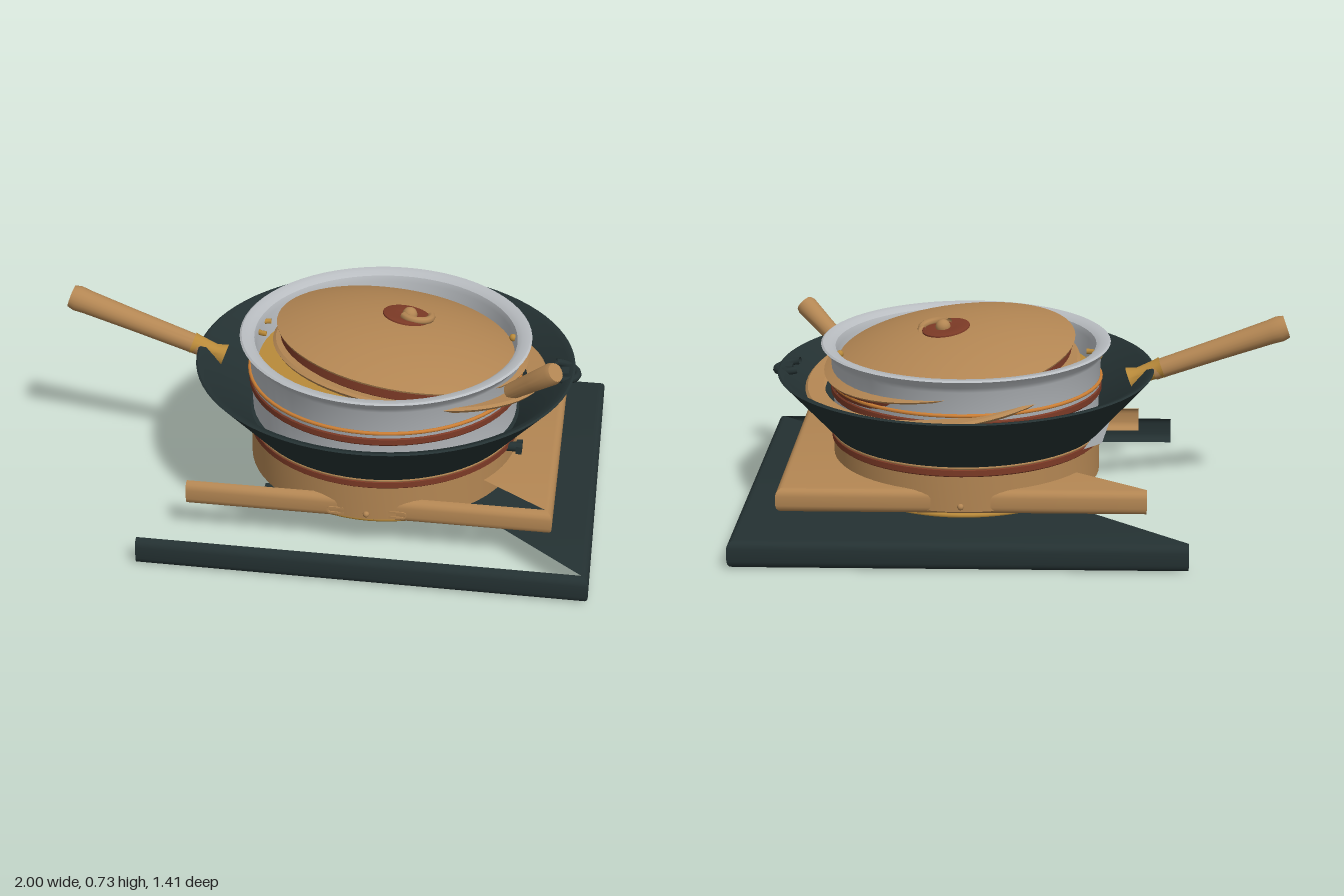
import * as THREE from 'three';
import { toCreasedNormals } from 'three/addons/utils/BufferGeometryUtils.js';

const CX = 0.195; // shared axis of burner, wok and pot

export function createModel() {
  const model = new THREE.Group();
  const mat = (name, color) => {
    const m = new THREE.MeshStandardMaterial({ color, side: THREE.DoubleSide });
    m.name = name;
    return m;
  };
  const dark = mat('dark iron', 0x243132);
  const wood = mat('tan wood', 0xb38653);
  const silver = mat('silver', 0xb9bdc1);
  const red = mat('rust red', 0x7c3a26);
  const gold = mat('gold', 0xb98a3a);
  const orange = mat('copper orange', 0xcc7f35);

  const add = (name, geo, m, x = 0, y = 0, z = 0, parent = model) => {
    const mesh = new THREE.Mesh(geo, m);
    mesh.name = name;
    mesh.position.set(x, y, z);
    parent.add(mesh);
    return mesh;
  };
  const lathe = (pts, seg = 64) => toCreasedNormals(
    new THREE.LatheGeometry(pts.map(p => new THREE.Vector2(...p)), seg), 0.6);
  const ring = (r, t) => new THREE.TorusGeometry(r, t, 8, 64).rotateX(Math.PI / 2);
  // turned rod whose profile [radius, distance] runs from point a towards b
  const rod = (name, a, b, profile, m) => {
    const from = new THREE.Vector3(...a), dir = new THREE.Vector3(...b).sub(from);
    const len = dir.length();
    const mesh = add(name, lathe(profile.map(([r, t]) => [r, t * len]), 20), m, ...a);
    mesh.quaternion.setFromUnitVectors(new THREE.Vector3(0, 1, 0), dir.normalize());
    return mesh;
  };

  // Open slab: three rounded side walls and a half-covered, triangular top
  const slab = (name, x0, x1, hz, y0, y1, m) => {
    const b = 0.028, rows = [];
    for (let k = 0; k <= 4; k++) {
      const a = k * Math.PI / 8;
      rows.push([b * (1 - Math.sin(a)), y0 + b * (1 - Math.cos(a))]);
    }
    for (let k = 4; k >= 0; k--) rows.push([rows[k][0], y0 + y1 - rows[k][1]]);
    const at = (i, [n, y]) => [
      [x0, y, n - hz], [x1 - n, y, n - hz], [x1 - n, y, hz - n], [x0, y, hz - n]][i];
    const pos = [];
    for (let i = 0; i < 3; i++) {
      for (let j = 0; j < rows.length - 1; j++) {
        const p = at(i, rows[j]), q = at(i + 1, rows[j]);
        const r = at(i + 1, rows[j + 1]), s = at(i, rows[j + 1]);
        pos.push(...p, ...s, ...r, ...p, ...r, ...q);
      }
    }
    const top = rows[rows.length - 1];
    pos.push(...at(0, top), ...at(2, top), ...at(1, top));
    const g = new THREE.BufferGeometry();
    g.setAttribute('position', new THREE.Float32BufferAttribute(pos, 3));
    g.computeVertexNormals();
    add(name, toCreasedNormals(g, 0.6), m);
  };
  slab('baseBoard', -0.605, 1, 0.705, 0, 0.1, dark);
  slab('woodenTray', -0.465, 0.855, 0.485, 0.125, 0.215, wood);

  // Finger slot on the tray front
  const slot = (w, h, Type) => {
    const s = new Type();
    s.absarc(w, 0, h, -Math.PI / 2, Math.PI / 2);
    s.absarc(-w, 0, h, Math.PI / 2, Math.PI * 1.5);
    return s;
  };
  const slotShape = slot(0.13, 0.014, THREE.Shape);
  slotShape.holes.push(slot(0.13, 0.007, THREE.Path));
  add('traySlot', new THREE.ExtrudeGeometry(slotShape,
    { depth: 0.006, bevelEnabled: false, curveSegments: 8 }), wood, 0.195, 0.16, 0.484);

  // Burner underneath
  add('outerBurnerRing', ring(0.44, 0.01), gold, CX, 0.106, 0);
  add('innerBurnerRing', ring(0.33, 0.011), orange, CX, 0.108, 0);
  for (let i = 0; i < 20; i++) {
    const a = i * Math.PI / 10;
    add('burnerJet', new THREE.SphereGeometry(0.018, 8, 6), orange,
      CX + 0.33 * Math.cos(a), 0.11, 0.33 * Math.sin(a));
  }
  add('burnerPlate', new THREE.CylinderGeometry(0.49, 0.49, 0.005, 64), silver, CX, 0.14, 0);
  for (let i = 0; i < 12; i++) {
    add('burnerWedge', new THREE.CircleGeometry(0.33, 4, i * Math.PI / 6, Math.PI / 12)
      .rotateX(Math.PI / 2), red, CX, 0.135, 0);
  }
  for (const sx of [-1, 1]) for (const sz of [-1, 1])
    add('burnerFoot', new THREE.BoxGeometry(0.09, 0.03, 0.09), dark, CX + sx * 0.355, 0.115, sz * 0.345);

  // Round drum, its bands and knobs
  add('drum', lathe([[0.485, 0.132], [0.497, 0.14], [0.497, 0.275]]), wood, CX);
  add('redBand', lathe([[0.497, 0.272], [0.503, 0.277], [0.503, 0.298], [0.497, 0.302]]), red, CX);
  add('upperBand', ring(0.498, 0.006), wood, CX, 0.306, 0);
  for (const s of [-1, 1])
    add('drumStud', new THREE.SphereGeometry(0.012, 10, 8), wood, CX, 0.16, s * 0.497);
  const valve = add('valveKnob', new THREE.CylinderGeometry(0.018, 0.018, 0.06, 12), dark, 0.69, 0.278, 0.148);
  valve.rotation.z = Math.PI / 2;
  add('valveCap', new THREE.BoxGeometry(0.022, 0.03, 0.055), dark, 0.71, 0.278, 0.148);

  // Loose metal flap beside the drum
  const flap = new THREE.BufferGeometry();
  flap.setAttribute('position', new THREE.Float32BufferAttribute(
    [-0.24, 0.31, -0.3, -0.36, 0.35, 0.07, -0.31, 0.265, -0.1], 3));
  flap.computeVertexNormals();
  add('metalFlap', flap, silver);

  // Wok
  add('wok', lathe([[0, 0.308], [0.5, 0.308], [0.69, 0.522], [0.697, 0.53], [0.69, 0.534],
    [0.668, 0.528], [0.5, 0.34], [0, 0.33]], 80), dark, CX);
  rod('wokSocket', [-0.41, 0.485, 0], [-0.53, 0.53, 0],
    [[0, 0], [0.043, 0], [0.03, 0.3], [0.036, 0.85], [0.04, 1], [0, 1]], gold);
  rod('wokHandle', [-0.5, 0.517, 0], [-0.985, 0.69, 0],
    [[0, 0], [0.036, 0], [0.04, 0.5], [0.045, 0.88], [0.048, 0.95], [0.042, 1], [0, 1]], wood);
  const loop = add('wokLoop', new THREE.TorusGeometry(0.062, 0.014, 8, 24, Math.PI * 1.2)
    .rotateX(Math.PI / 2).rotateY(Math.PI * 0.6), dark, 0.84, 0.525, 0);
  loop.rotation.z = -0.15;
  add('wokLug', new THREE.BoxGeometry(0.035, 0.06, 0.05), dark, 0.86, 0.5, 0);
  add('wokEyelet', new THREE.TorusGeometry(0.018, 0.006, 8, 16).rotateY(Math.PI / 2), dark, 0.852, 0.48, 0.08);

  // Pot
  add('pot', lathe([[0.47, 0.34], [0.49, 0.35], [0.5, 0.585], [0.512, 0.605], [0.535, 0.632],
    [0.528, 0.637], [0.5, 0.635], [0.482, 0.622], [0.475, 0.6], [0.47, 0.36]]), silver, CX);
  add('potStripe', ring(0.5, 0.007), orange, CX, 0.5, 0);
  add('potLowerBand', lathe([[0.499, 0.45], [0.503, 0.455], [0.503, 0.475], [0.499, 0.48]]), red, CX);
  add('potContents', new THREE.CylinderGeometry(0.47, 0.47, 0.02, 64), gold, CX, 0.51, 0);
  const inner = add('innerLoop', new THREE.TorusGeometry(0.05, 0.01, 8, 20, Math.PI)
    .rotateX(Math.PI / 2).rotateY(Math.PI / 2), gold, -0.25, 0.59, -0.05);
  inner.rotation.y = Math.PI;
  add('innerStud', new THREE.SphereGeometry(0.014, 10, 8), gold, 0.655, 0.6, -0.09);

  // Tilted wooden pan between pot and wok, with a short handle
  const up = new THREE.Vector3(0, 1, 0);
  const pan = add('woodenPan', lathe([[0.44, -0.025], [0.5, -0.012], [0.51, 0], [0.5, 0.008], [0.44, 0.006]]),
    wood, 0.28, 0.53, -0.05);
  pan.quaternion.setFromUnitVectors(up, new THREE.Vector3(0.1, 1, -0.12).normalize());
  rod('panHandle', [0.67, 0.54, 0.205], [0.83, 0.685, 0.3],
    [[0, 0], [0.03, 0], [0.035, 0.5], [0.04, 0.93], [0.034, 1], [0, 1]], wood);

  // Tilted domed lid with its knob
  const lid = new THREE.Group();
  lid.name = 'lid';
  lid.position.set(0.255, 0.6, -0.03);
  lid.quaternion.setFromUnitVectors(up, new THREE.Vector3(0.134, 1, -0.1).normalize());
  model.add(lid);
  const dome = [[0.45, -0.012], [0.465, -0.006]];
  for (let i = 0; i <= 12; i++) {
    const r = 0.468 * (1 - i / 12);
    dome.push([r, Math.sqrt(1.27 ** 2 - r * r) - 1.18]);
  }
  add('lidDome', lathe(dome), wood, 0, 0, 0, lid);
  add('lidBand', lathe([[0.44, -0.05], [0.448, -0.045], [0.45, -0.01]]), red, 0, 0, 0, lid);
  add('knobDish', lathe([[0, 0.092], [0.04, 0.092], [0.075, 0.096], [0.088, 0.092], [0.09, 0.08]], 32),
    red, 0, 0, 0, lid);
  add('knobCurl', new THREE.TorusGeometry(0.055, 0.014, 8, 24, Math.PI * 0.9)
    .rotateX(Math.PI / 2).rotateY(0.3), wood, 0.035, 0.1, 0, lid);
  add('knobStud', new THREE.SphereGeometry(0.028, 14, 10), wood, 0.01, 0.095, 0, lid);

  return model;
}
